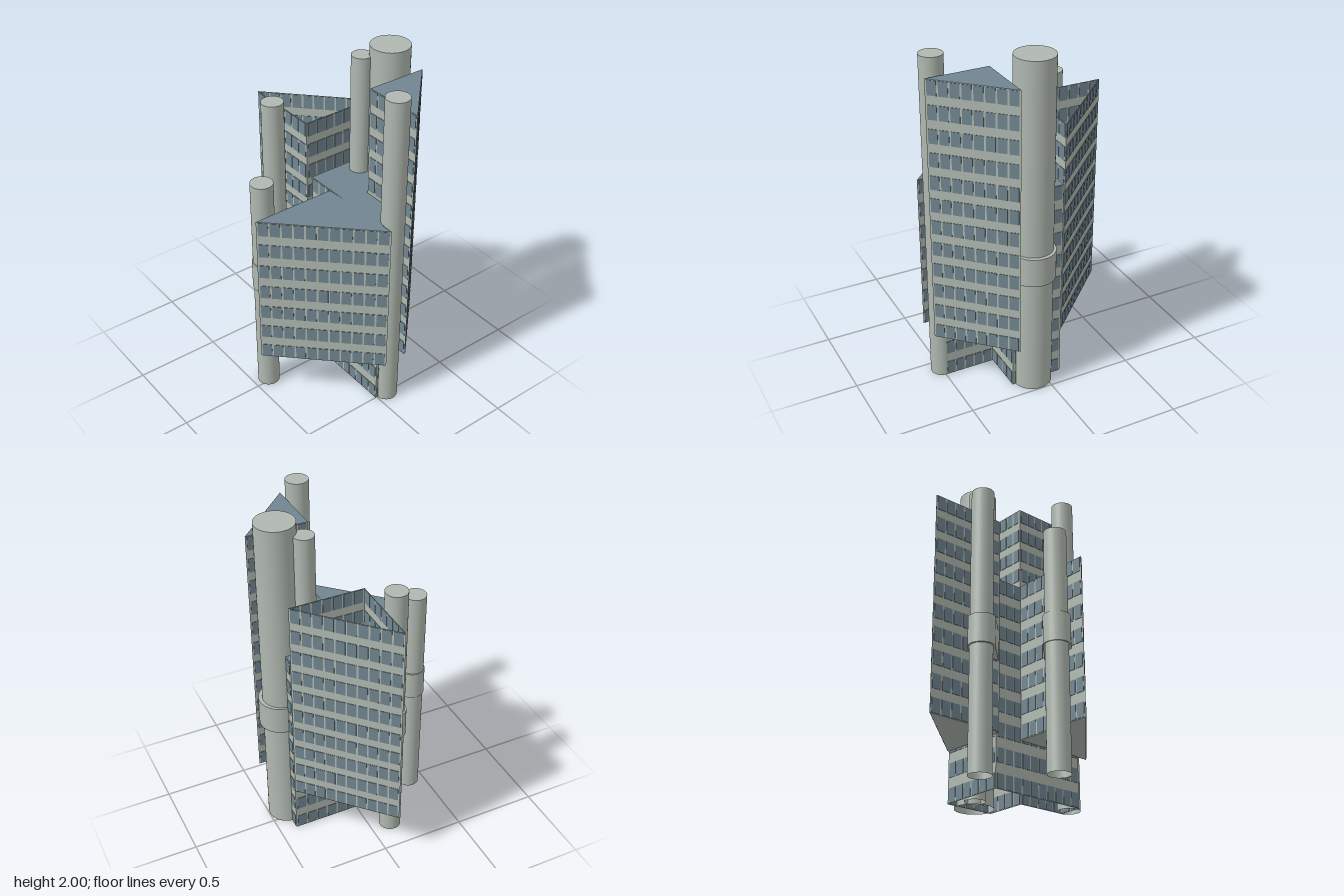
import * as THREE from 'three';
import { mergeGeometries } from 'three/addons/utils/BufferGeometryUtils.js';

const concrete = new THREE.MeshStandardMaterial({ color: 0xb0b8b0, side: THREE.DoubleSide });
concrete.name = 'pale concrete';
const glass = new THREE.MeshStandardMaterial({ color: 0x708590 });
glass.name = 'blue grey glass';

function addMesh(parent, name, geometry, material) {
  const mesh = new THREE.Mesh(geometry, material);
  mesh.name = name;
  parent.add(mesh);
  return mesh;
}

// Horizontal polygon facing up, from [x, z] corners
function slab(corners, y) {
  const shape = new THREE.Shape(corners.map(([x, z]) => new THREE.Vector2(x, -z)));
  return new THREE.ShapeGeometry(shape).rotateX(-Math.PI / 2).translate(0, y, 0);
}

// Upright wall between two corners with a grid of thin window plates
function wallParts([x1, z1], [x2, z2], y0, y1, rows) {
  const length = Math.hypot(x2 - x1, z2 - z1);
  const height = y1 - y0;
  const place = new THREE.Matrix4()
    .makeRotationY(-Math.atan2(z2 - z1, x2 - x1))
    .setPosition((x1 + x2) / 2, y0, (z1 + z2) / 2);
  const wall = new THREE.PlaneGeometry(length, height).translate(0, height / 2, 0).applyMatrix4(place);
  const windows = [];
  const cols = Math.max(2, Math.round(length / 0.064));
  const stepX = (length - 0.01) / cols;
  const paneH = 0.083;
  const stepY = (height - paneH - 0.008) / (rows - 1);
  for (let r = 0; r < rows; r++) {
    for (let c = 0; c < cols; c++) {
      const pane = new THREE.BoxGeometry(stepX - 0.01, paneH, 0.005);
      pane.translate(-length / 2 + 0.005 + (c + 0.5) * stepX, 0.004 + paneH / 2 + r * stepY, 0);
      windows.push(pane.applyMatrix4(place));
    }
  }
  return { wall, windows };
}

// Block with windowed walls around a footprint
function block(name, corners, y0, y1, rows, { roof = true, floor = true } = {}) {
  const group = new THREE.Group();
  group.name = name;
  const walls = [];
  const panes = [];
  corners.forEach((corner, i) => {
    const part = wallParts(corner, corners[(i + 1) % corners.length], y0, y1, rows);
    walls.push(part.wall);
    panes.push(...part.windows);
  });
  addMesh(group, 'walls', mergeGeometries(walls), concrete);
  addMesh(group, 'windows', mergeGeometries(panes), glass);
  if (roof) addMesh(group, 'roof', slab(corners, y1), glass);
  if (floor) addMesh(group, 'floor', slab(corners, y0), concrete);
  return group;
}

// Round shaft, capped on top and open at the foot
function shaft(name, x, z, radius, height) {
  const group = new THREE.Group();
  group.name = name;
  group.position.set(x, 0, z);
  addMesh(group, 'shaftWall',
    new THREE.CylinderGeometry(radius, radius, height, 40, 1, true).translate(0, height / 2, 0), concrete);
  addMesh(group, 'shaftCap',
    new THREE.CircleGeometry(radius, 40).rotateX(-Math.PI / 2).translate(0, height, 0), concrete);
  return group;
}

// Bridge with a round end wrapping a shaft and a straight end running into a block
function bridge(parent, name, x, z, radius, angle, length) {
  const shape = new THREE.Shape();
  shape.absarc(0, 0, radius, Math.PI / 2, Math.PI * 1.5, false);
  shape.lineTo(length, -radius);
  shape.lineTo(length, radius);
  shape.closePath();
  const geometry = new THREE.ExtrudeGeometry(shape, { depth: 0.17, bevelEnabled: false, curveSegments: 28 });
  geometry.rotateZ(angle).rotateX(-Math.PI / 2).translate(x, 0.71, z);
  addMesh(parent, name, geometry, concrete);
}

export function createModel() {
  const model = new THREE.Group();
  model.name = 'towerComplex';

  // Core reaching the ground, and three raised triangular towers
  model.add(
    block('core', [[-0.108, -0.398], [0.198, -0.398], [0.198, -0.137], [0.5, -0.137], [0.5, 0.008], [-0.108, 0.008]],
      0, 1.23, 9, { floor: false }),
    block('rightTower', [[-0.113, -0.4], [-0.113, 0.04], [-0.575, 0.04]], 0.3, 1.585, 10, { roof: false }),
    block('frontTower', [[0.065, 0.014], [0.572, 0], [0.068, 0.513]], 0.3, 1.233, 7),
    block('backTower', [[0.201, -0.141], [0.201, -0.498], [0.565, -0.145]], 0.3, 1.87, 12),
  );

  // Service shafts
  model.add(
    shaft('mainShaft', 0.067, -0.385, 0.112, 2.0),
    shaft('slimShaft', -0.025, -0.265, 0.058, 1.94),
    shaft('leftShaft', 0.496, -0.072, 0.066, 1.97),
    shaft('frontShaft', -0.025, 0.405, 0.064, 1.39),
    shaft('rightShaft', -0.312, 0.125, 0.064, 1.66),
  );

  // Bridges joining the shafts to the blocks
  bridge(model, 'rightBridge', -0.31, 0.125, 0.075, Math.PI / 4, 0.2);
  bridge(model, 'frontBridge', -0.02, 0.402, 0.075, Math.PI / 4, 0.22);
  bridge(model, 'mainShaftCollar', 0.07, -0.394, 0.125, -Math.PI / 2, 0.15);

  return model;
}
